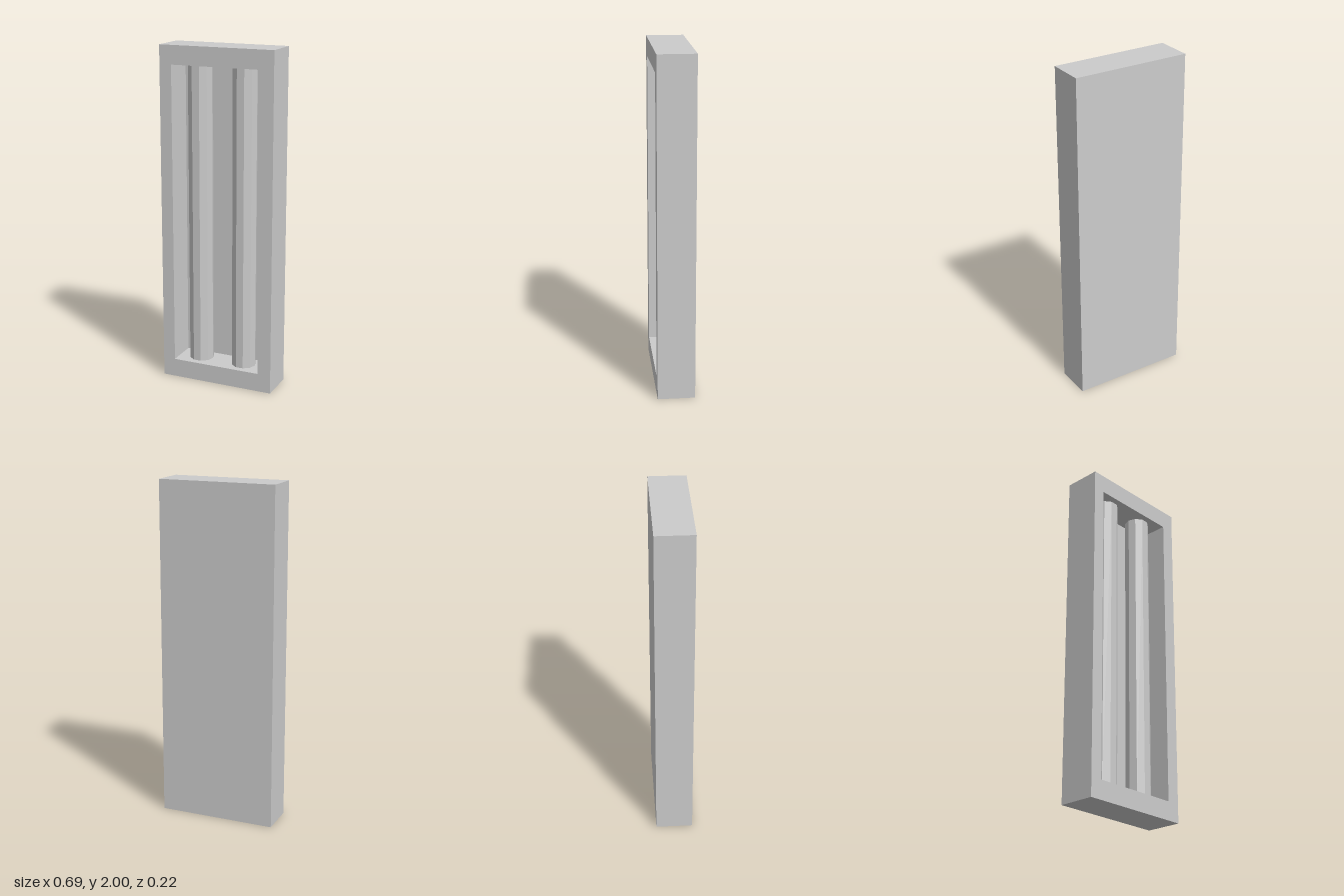
import * as THREE from 'three';

const W = 0.694, H = 2, D = 0.218;      // outer casing
const BACK = 0.032;                     // back panel thickness
const HOLE = { x0: -0.274, x1: 0.266, y0: 0.11, y1: 1.89 };
const TUBE_R = 0.0725, TUBE_SIDES = 10;

function rect(target, x0, y0, x1, y1) {
  target.moveTo(x0, y0);
  target.lineTo(x1, y0);
  target.lineTo(x1, y1);
  target.lineTo(x0, y1);
  target.closePath();
  return target;
}

export function createModel() {
  const group = new THREE.Group();
  group.name = 'tubeLamp';
  const material = new THREE.MeshStandardMaterial({ color: 0xcccccc, flatShading: true });
  const add = (name, geometry, x, y, z) => {
    const mesh = new THREE.Mesh(geometry, material);
    mesh.name = name;
    mesh.position.set(x, y, z);
    group.add(mesh);
  };

  // Casing frame around the open recess
  const outline = rect(new THREE.Shape(), -W / 2, 0, W / 2, H);
  outline.holes.push(rect(new THREE.Path(), HOLE.x0, HOLE.y0, HOLE.x1, HOLE.y1));
  const frame = new THREE.ExtrudeGeometry(outline, { depth: D - BACK, bevelEnabled: false });
  add('frame', frame, 0, 0, -D / 2 + BACK);

  // Back panel closing the recess
  add('backPanel', new THREE.BoxGeometry(W, H, BACK), 0, H / 2, -D / 2 + BACK / 2);

  // Two upright ten-sided tubes, corners pointing sideways
  const tube = new THREE.CylinderGeometry(TUBE_R, TUBE_R, HOLE.y1 - HOLE.y0, TUBE_SIDES, 1, true, Math.PI / 2);
  const middle = (HOLE.x0 + HOLE.x1) / 2;
  for (const [name, side] of [['rightTube', -1], ['leftTube', 1]]) {
    add(name, tube, middle + side * 0.138, H / 2, 0.002);
  }
  return group;
}
